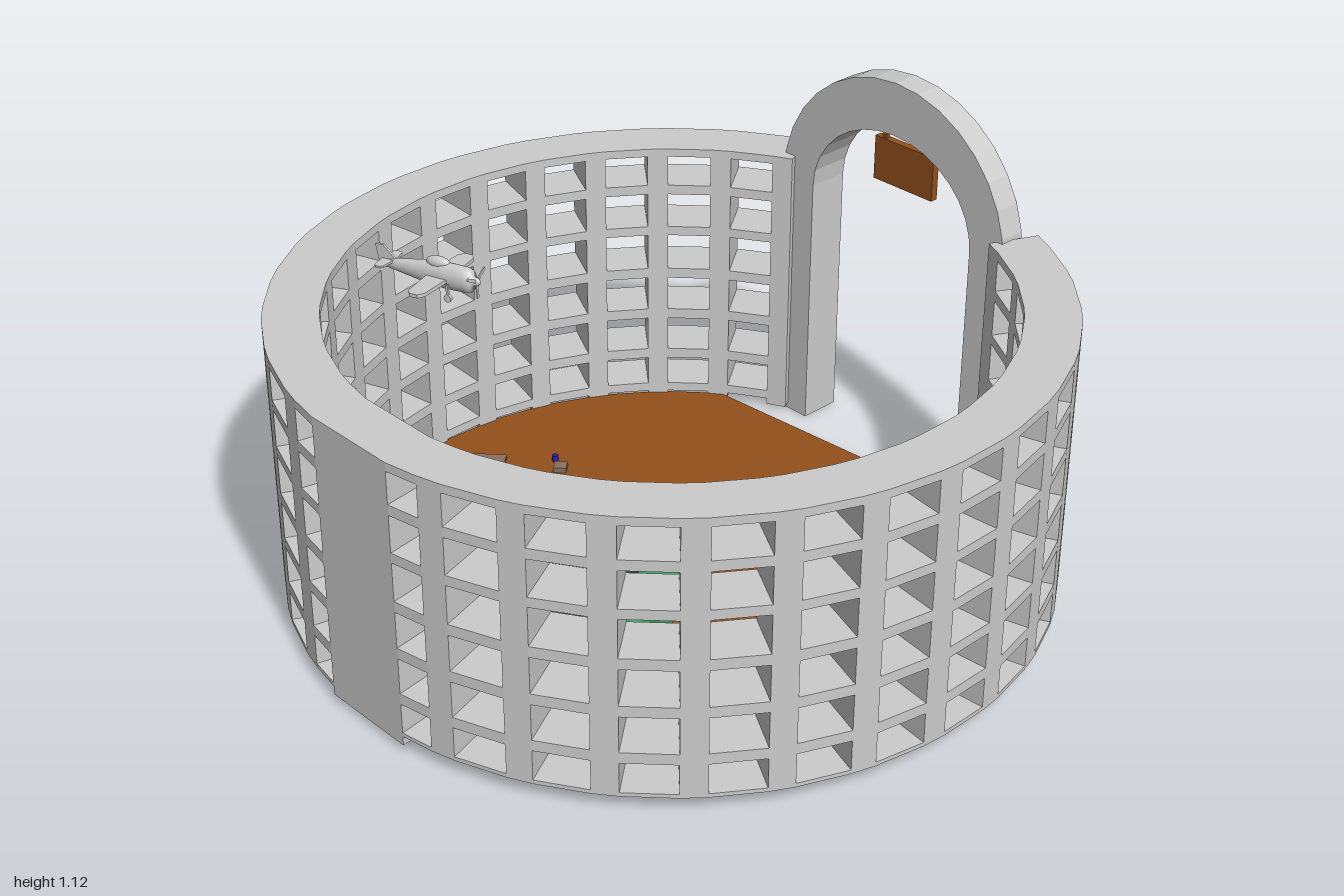
import * as THREE from 'three';
import { mergeGeometries } from 'three/addons/utils/BufferGeometryUtils.js';

const CZ = -0.04; // centre of the round wall
const mat = (color = 0xcccccc, extra = {}) => new THREE.MeshStandardMaterial({ color, ...extra });
const grey = mat(0xcccccc, { flatShading: true });
const smooth = mat();
const brown = mat(0x94501c, { side: THREE.DoubleSide });

function add(parent, name, geo, material, x = 0, y = 0, z = 0) {
  const m = new THREE.Mesh(geo, material);
  m.name = name;
  m.position.set(x, y, z);
  parent.add(m);
  return m;
}
const box = (w, h, d) => new THREE.BoxGeometry(w, h, d);

// Box bent into a slice of a ring; angle 0 is the front, the base may slope inward
function sector(a0, a1, y0, y1, yIn = y0, r0 = 0.86, r1 = 1) {
  const g = box(1, 1, 1), p = g.attributes.position;
  for (let i = 0; i < p.count; i++) {
    const a = a0 + (a1 - a0) * (p.getX(i) + 0.5);
    const out = p.getZ(i) > 0, r = out ? r1 : r0;
    const y = p.getY(i) > 0 ? y1 : out ? y0 : yIn;
    p.setXYZ(i, Math.sin(a) * r, y, Math.cos(a) * r + CZ);
  }
  g.computeVertexNormals();
  return g;
}

function buildWall(root) {
  const half = 0.033, panel = 0.135, pitch = 0.2027, posts = [], rails = [];
  const heights = [[0.14, 0.17], [0.27, 0.3], [0.4, 0.43], [0.535, 0.562], [0.662, 0.69], [0.777, 0.8]];
  const both = (list, a0, a1, ...r) => list.push(sector(a0, a1, ...r), sector(-a1, -a0, ...r));
  let edge = panel;
  for (let k = 0; k < 13; k++) {
    const c = 0.257 + pitch * k;
    both(posts, c - half, c + half, 0.045, 0.8, 0.012);
    both(rails, edge, c - half, 0.045, 0.056, 0.03);
    for (const [y0, y1] of heights) both(rails, edge, c - half, y0, y1);
    edge = c + half;
  }
  add(root, 'wallPosts', mergeGeometries(posts), grey);
  add(root, 'wallRails', mergeGeometries(rails), grey);
  add(root, 'frontPanel', sector(-panel, panel, 0.02, 0.8, 0.012), grey);
}

// Floor disc cut by a straight edge at the gateway
function buildFloor(root) {
  const pts = [], n = 26, a0 = -2.496, a1 = 2.637;
  for (let i = 0; i <= n; i++) {
    const a = a0 + (a1 - a0) * i / n;
    pts.push(new THREE.Vector2(Math.sin(a) * 0.866, -Math.cos(a) * 0.866));
  }
  const g = new THREE.ExtrudeGeometry(new THREE.Shape(pts), { depth: 0.01, bevelEnabled: false });
  g.rotateX(-Math.PI / 2);
  add(root, 'floor', g, brown, 0, 0.014, CZ);
}

// Gateway: a chamfered section swept up one leg, over the curve and down the other
function buildArch(root) {
  const section = [[1, -0.845], [1, -0.922], [0.65, -0.965], [0, -0.965], [0, -0.845]];
  const cx = -0.008, cy = 0.735, steps = 16, rows = [], v = [];
  const row = (ang, base) => section.map(([t, z]) => {
    const rx = 0.28 + 0.112 * t, ry = 0.243 + 0.147 * t;
    return [cx - Math.cos(ang) * rx, base ? 0 : cy + Math.sin(ang) * ry, z];
  });
  rows.push(row(0, true));
  for (let i = 0; i <= steps; i++) rows.push(row(Math.PI * i / steps, false));
  rows.push(row(Math.PI, true));
  const n = section.length;
  for (let i = 0; i < rows.length - 1; i++) {
    for (let j = 0; j < n; j++) {
      const a = rows[i][j], b = rows[i][(j + 1) % n], c = rows[i + 1][j], d = rows[i + 1][(j + 1) % n];
      v.push(...a, ...c, ...b, ...b, ...c, ...d);
    }
  }
  const s = rows[0], e = rows[rows.length - 1];
  for (let j = 1; j < n - 1; j++) v.push(...s[0], ...s[j], ...s[j + 1], ...e[0], ...e[j + 1], ...e[j]);
  const g = new THREE.BufferGeometry();
  g.setAttribute('position', new THREE.Float32BufferAttribute(v, 3));
  g.computeVertexNormals();
  add(root, 'gateArch', g, grey);

  add(root, 'hangingSign', box(0.205, 0.125, 0.022), brown, -0.01, 0.867, -0.905);
  for (const x of [-0.083, 0.057]) add(root, 'signHanger', box(0.014, 0.06, 0.012), brown, x, 0.955, -0.905);
}

// Round green basin with a dark domed middle
function buildBasin(root) {
  const lathe = (pts) => new THREE.LatheGeometry(pts.map(p => new THREE.Vector2(...p)), 40);
  const g = new THREE.Group();
  g.name = 'basin';
  g.position.set(-0.125, 0, 0.352);
  root.add(g);
  add(g, 'basinRim', lathe([[0.385, 0.024], [0.398, 0.04], [0.398, 0.128], [0.39, 0.138], [0.36, 0.142],
    [0.295, 0.142], [0.285, 0.13], [0.285, 0.03]]), mat(0x38a060, { side: THREE.DoubleSide }));
  add(g, 'basinMiddle', lathe([[0.285, 0.03], [0.295, 0.14], [0.294, 0.165], [0.285, 0.178], [0.265, 0.185],
    [0.15, 0.188], [0, 0.188]]), mat(0x303a30, { side: THREE.DoubleSide }));
}

// Chest with its rounded lid thrown open
function buildChest(root) {
  const g = new THREE.Group(), w = 0.24, d = 0.15, h = 0.12;
  g.name = 'chest';
  g.position.set(0.627, 0.025, 0.224);
  g.rotation.y = -1.95;
  root.add(g);
  add(g, 'chestBase', box(w, 0.02, d), grey, 0, 0.01, 0);
  for (const s of [-1, 1]) {
    add(g, 'chestLongWall', box(w, h, 0.014), grey, 0, h / 2, s * (d / 2 - 0.007));
    add(g, 'chestEndWall', box(0.014, h, d), grey, s * (w / 2 - 0.007), h / 2, 0);
    add(g, 'chestBand', box(0.018, h + 0.004, d + 0.01), grey, s * 0.085, h / 2, 0);
  }
  add(g, 'latch', box(0.035, 0.04, 0.012), grey, 0, h - 0.02, d / 2 + 0.005);

  const lid = new THREE.Group();
  lid.name = 'chestLid';
  lid.position.set(0, h, -d / 2);
  lid.rotation.x = -1.3;
  g.add(lid);
  const dome = (r, len) => {
    const s = new THREE.Shape();
    s.absellipse(0, 0, d / 2 + r, 0.06 + r, 0, Math.PI, false);
    const e = new THREE.ExtrudeGeometry(s, { depth: len, bevelEnabled: false, curveSegments: 10 });
    return e.translate(0, 0, -len / 2).rotateY(Math.PI / 2);
  };
  add(lid, 'lidDome', dome(0, w), grey, 0, 0, d / 2);
  for (const x of [-0.085, 0.085]) add(lid, 'lidBand', dome(0.005, 0.018), grey, x, 0, d / 2);
  add(lid, 'hasp', box(0.03, 0.03, 0.01), grey, 0, 0.005, d + 0.005);
}

// Small propeller aircraft hovering over the basin, nose along local +x
function buildPlane(root) {
  const g = new THREE.Group();
  g.name = 'aircraft';
  g.position.set(-0.235, 0.972, 0.512);
  g.rotation.set(0, 0.3, 0.05);
  root.add(g);
  const body = [[0, -0.15], [0.008, -0.145], [0.016, -0.09], [0.026, -0.02], [0.031, 0.04], [0.03, 0.095],
    [0.026, 0.112], [0.011, 0.116], [0.008, 0.13], [0, 0.137]];
  const fuselage = new THREE.LatheGeometry(body.map(p => new THREE.Vector2(...p)), 18);
  add(g, 'fuselage', fuselage.rotateZ(-Math.PI / 2).scale(1, 1.1, 0.75), smooth);

  // Flat tapered surface with rounded tips, lying level
  const surface = (span, root0, tip, t) => {
    const s = new THREE.Shape();
    s.moveTo(root0 / 2, 0);
    for (const [k, y] of [[1, 1], [1, -1], [-1, -1], [-1, 1]]) {
      const tipPts = [[tip / 2, 0.88], [tip / 4, 1]];
      if (k * y < 0) tipPts.reverse();
      if (k * y < 0 && k < 0) s.lineTo(-root0 / 2, 0);
      for (const [px, py] of (k === 1 && y === -1) ? [] : tipPts) s.lineTo(k * px, y * py * span);
      if (k === 1 && y === 1) {
        s.lineTo(-tip / 4, span); s.lineTo(-tip / 2, span * 0.88); s.lineTo(-root0 / 2, 0);
        s.lineTo(-tip / 2, -span * 0.88); s.lineTo(-tip / 4, -span);
        s.lineTo(tip / 4, -span); s.lineTo(tip / 2, -span * 0.88);
        break;
      }
    }
    s.closePath();
    return new THREE.ExtrudeGeometry(s, { depth: t, bevelEnabled: false }).rotateX(-Math.PI / 2);
  };
  add(g, 'wing', surface(0.117, 0.06, 0.045, 0.009), grey, 0.025, -0.008, 0);
  add(g, 'tailplane', surface(0.045, 0.035, 0.025, 0.005), grey, -0.125, 0.006, 0);
  const fin = new THREE.Shape([[-0.1, 0.01], [-0.135, 0.046], [-0.158, 0.046], [-0.15, -0.008]]
    .map(p => new THREE.Vector2(...p)));
  fin.closePath();
  add(g, 'tailFin', new THREE.ExtrudeGeometry(fin, { depth: 0.006, bevelEnabled: false }), grey, 0, 0, -0.003);
  const canopy = add(g, 'canopy', new THREE.SphereGeometry(0.02, 14, 10), smooth, 0.02, 0.03, 0);
  canopy.scale.set(1.7, 0.8, 0.7);
  for (let i = 0; i < 3; i++) {
    const blade = add(g, 'propellerBlade', box(0.003, 0.04, 0.008).translate(0, 0.022, 0), grey, 0.124, 0, 0);
    blade.rotation.x = i * Math.PI * 2 / 3 + Math.PI;
  }
  for (const s of [-1, 1]) {
    add(g, 'gearStrut', box(0.006, 0.035, 0.006), grey, 0.06, -0.025, s * 0.03);
    add(g, 'wheel', new THREE.CylinderGeometry(0.01, 0.01, 0.008, 12).rotateX(Math.PI / 2), grey, 0.06, -0.042, s * 0.03);
  }
}

// Small plates and studs set into the floor
function buildFloorItems(root) {
  const plateMat = mat(0x8c6e60);
  add(root, 'floorPlate', box(0.13, 0.03, 0.125), plateMat, -0.68, 0.02, 0.045).rotation.y = 0.72;
  add(root, 'smallPlate', box(0.036, 0.035, 0.036), plateMat, -0.525, 0.022, -0.115).rotation.y = 0.72;
  for (const [x, z] of [[-0.57, -0.135], [-0.512, -0.047]]) {
    add(root, 'stud', new THREE.CylinderGeometry(0.009, 0.009, 0.03, 10), mat(0x3020a0), x, 0.027, z);
  }
}

export function createModel() {
  const root = new THREE.Group();
  root.name = 'roundArena';
  for (const build of [buildWall, buildFloor, buildArch, buildBasin, buildChest, buildPlane, buildFloorItems]) build(root);
  return root;
}
